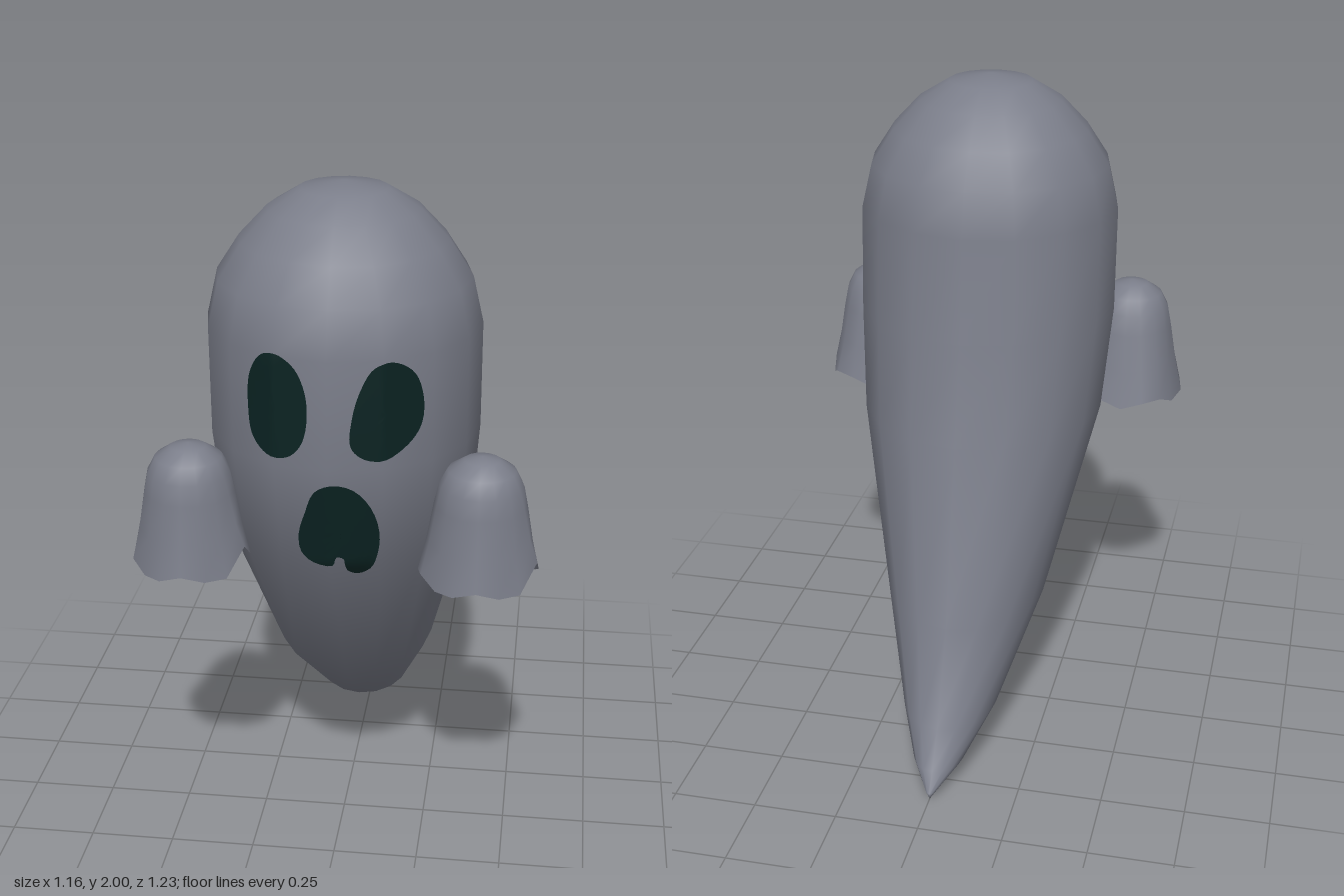
import * as THREE from 'three';
import { mergeVertices } from 'three/addons/utils/BufferGeometryUtils.js';

const SIDES = 16;
const cloth = new THREE.MeshStandardMaterial({ color: 0x7b7e8a, side: THREE.DoubleSide });
cloth.name = 'grey cloth';
const dark = new THREE.MeshStandardMaterial({ color: 0x0b2322, side: THREE.DoubleSide });
dark.name = 'dark hollow';

// Smooth skin over closed rings; point(row, angle) gives [x, y, z], angle 0 faces +z
function skin(rows, point, sides = SIDES) {
  const pos = [], index = [];
  for (let i = 0; i < rows; i++)
    for (let j = 0; j < sides; j++) pos.push(...point(i, (j / sides) * Math.PI * 2));
  for (let i = 0; i < rows - 1; i++)
    for (let j = 0; j < sides; j++) {
      const a = i * sides + j, d = i * sides + (j + 1) % sides;
      index.push(a, a + sides, d, a + sides, d + sides, d);
    }
  let g = new THREE.BufferGeometry();
  g.setAttribute('position', new THREE.Float32BufferAttribute(pos, 3));
  g.setIndex(index);
  g = mergeVertices(g, 1e-5);
  g.computeVertexNormals();
  return g;
}

// Body rings from crown to tail tip: [height, front z, back z, half width]
const BODY = [
  [2.0, 0.22, 0.22, 0], [1.98, 0.345, 0.095, 0.125], [1.925, 0.435, 0.005, 0.215],
  [1.84, 0.515, -0.075, 0.295], [1.74, 0.58, -0.14, 0.36], [1.61, 0.61, -0.17, 0.39],
  [1.3, 0.61, -0.2, 0.39], [1.0, 0.555, -0.27, 0.367], [0.46, 0.205, -0.39, 0.24],
  [0.18, -0.14, -0.51, 0.14], [0.075, -0.385, -0.575, 0.075], [0.02, -0.565, -0.61, 0.016],
  [0.0, -0.605, -0.605, 0],
];

function buildBody() {
  const geometry = skin(BODY.length, (i, t) => {
    const [y, front, back, w] = BODY[i];
    return [w * Math.sin(t), y, (front + back) / 2 + ((front - back) / 2) * Math.cos(t)];
  });
  const body = new THREE.Mesh(geometry, cloth);
  body.name = 'body';
  return body;
}

// Thin patch draped over the front of the body, filled from its centre outwards
function facePatch(name, body, centre, outline) {
  const curve = new THREE.CatmullRomCurve3(outline.map(([x, y]) => new THREE.Vector3(x, y, 0)), true);
  const ray = new THREE.Raycaster();
  const edge = curve.getPoints(48).slice(0, 48).reverse();
  const rows = 9;
  const geometry = skin(rows, (i, t) => {
    const p = edge[Math.round((t / (Math.PI * 2)) * 48) % 48];
    const k = i / (rows - 1);
    const x = centre[0] + (p.x - centre[0]) * k, y = centre[1] + (p.y - centre[1]) * k;
    ray.set(new THREE.Vector3(x, y, 3), new THREE.Vector3(0, 0, -1));
    const hit = ray.intersectObject(body)[0];
    return [x, y, (hit ? hit.point.z : 0.5) + 0.006];
  }, 48);
  const mesh = new THREE.Mesh(geometry, dark);
  mesh.name = name;
  return mesh;
}

// Hanging sleeve: domed top, fluted open skirt with a wavy hem and one raised notch
const SLEEVE = [[1.305, 0], [1.295, 0.05], [1.265, 0.095], [1.22, 0.118], [1.16, 0.13], [1.05, 0.148], [0.945, 0.17]];
function buildArm(name, x) {
  const geometry = skin(SLEEVE.length, (i, t) => {
    const [y, r] = SLEEVE[i];
    const k = Math.max(0, (i - 3) / 3);
    const flute = 1 + 0.035 * k * Math.cos(5 * t + 0.6);
    const notch = 0.06 * Math.exp(-(((t - 1.25) / 0.3) ** 2));
    const hem = k * k * (0.016 * Math.cos(5 * t) + notch);
    return [r * flute * Math.sin(t), y + hem, 0.46 - 0.015 * k + r * flute * Math.cos(t)];
  });
  const arm = new THREE.Mesh(geometry, cloth);
  arm.name = name;
  arm.position.x = x;
  return arm;
}

export function createModel() {
  const model = new THREE.Group();
  model.name = 'ghost';
  const body = buildBody();
  model.add(body, buildArm('leftArm', 0.41), buildArm('rightArm', -0.41));

  model.add(facePatch('rightEye', body, [-0.138, 1.47], [
    [-0.14, 1.62], [-0.09, 1.59], [-0.06, 1.53], [-0.052, 1.45], [-0.07, 1.37], [-0.11, 1.33],
    [-0.17, 1.33], [-0.21, 1.37], [-0.222, 1.45], [-0.215, 1.55], [-0.18, 1.61]]));
  model.add(facePatch('leftEye', body, [0.158, 1.46], [
    [0.17, 1.605], [0.225, 1.57], [0.25, 1.5], [0.248, 1.42], [0.22, 1.37], [0.16, 1.33],
    [0.1, 1.335], [0.065, 1.37], [0.068, 1.45], [0.09, 1.53], [0.125, 1.59]]));
  model.add(facePatch('mouth', body, [0.03, 1.12], [
    [0.01, 1.257], [0.07, 1.24], [0.117, 1.18], [0.138, 1.1], [0.132, 1.03], [0.11, 0.975],
    [0.075, 0.955], [0.047, 0.97], [0.04, 1.015], [0.02, 1.022], [0.008, 0.993], [-0.045, 0.998],
    [-0.08, 1.03], [-0.085, 1.09], [-0.065, 1.16], [-0.037, 1.23]]));
  return model;
}
